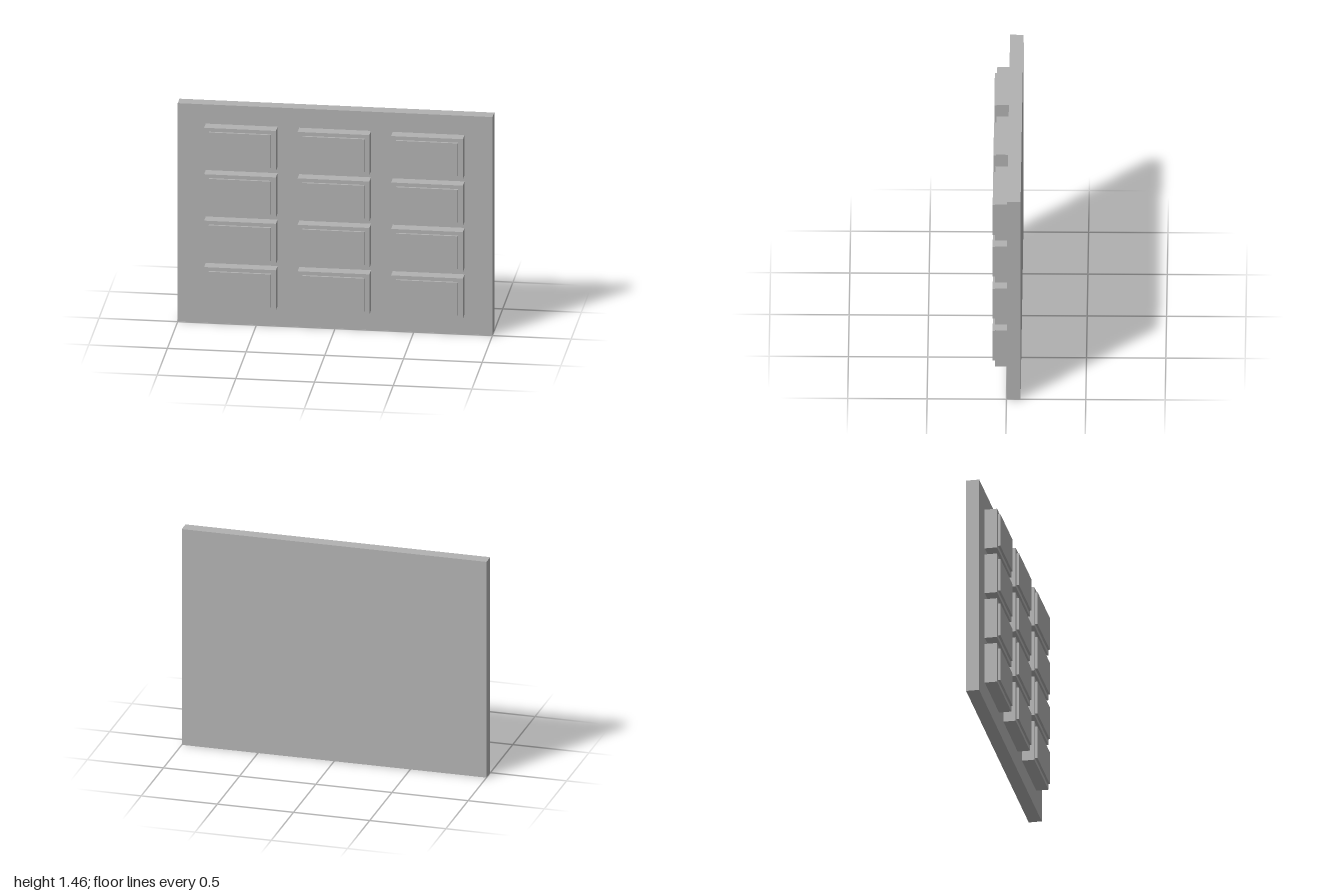
import * as THREE from 'three';

export function createModel() {
  const group = new THREE.Group();
  group.name = 'panelledBoard';
  const grey = new THREE.MeshStandardMaterial({ color: 0xb2b2b2 });
  grey.name = 'grey';

  // Box spanning z from back to front, centred on x, y
  const addBox = (name, w, h, x, y, back, front) => {
    const mesh = new THREE.Mesh(new THREE.BoxGeometry(w, h, front - back), grey);
    mesh.name = name;
    mesh.position.set(x, y, (back + front) / 2);
    group.add(mesh);
  };

  // Backing board
  addBox('backBoard', 2, 1.462, 0, 0.731, -0.089, -0.005);

  // Three columns by four rows of stepped blocks
  for (let col = 0; col < 3; col++) {
    for (let row = 0; row < 4; row++) {
      const x = (col - 1) * 0.594;
      const y = 0.266 + row * 0.311;
      addBox('block', 0.456, 0.269, x, y, -0.005, 0.074);
      addBox('raisedFace', 0.394, 0.22, x, y, 0.074, 0.089);
    }
  }
  return group;
}
